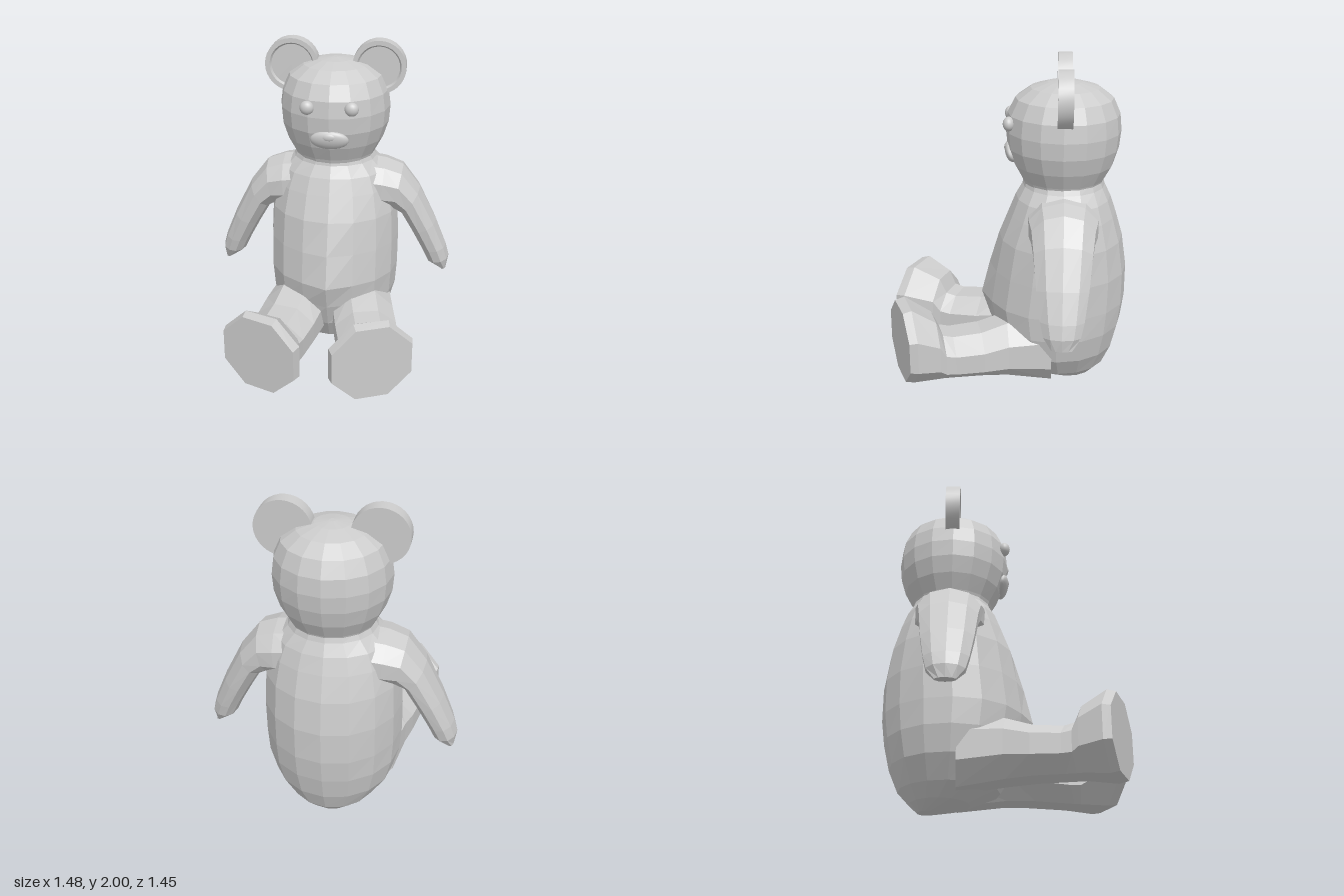
import * as THREE from 'three';
import { toCreasedNormals } from 'three/addons/utils/BufferGeometryUtils.js';

const faceted = new THREE.MeshStandardMaterial({ color: 0xcccccc, flatShading: true });
const smooth = new THREE.MeshStandardMaterial({ color: 0xcccccc });

function add(group, name, geometry, material, x = 0, y = 0, z = 0) {
  const mesh = new THREE.Mesh(geometry, material);
  mesh.name = name;
  mesh.position.set(x, y, z);
  group.add(mesh);
  return mesh;
}

// Skin over a list of rings (counter-clockwise seen from the last ring), closed at both ends
function loft(rings, side = 1) {
  const out = [];
  const tri = (a, b, c) => {
    for (const p of side > 0 ? [a, b, c] : [a, c, b]) out.push(p.x * side, p.y, p.z);
  };
  const centre = (ring) => ring.reduce((s, p) => s.add(p), new THREE.Vector3()).divideScalar(ring.length);
  const n = rings[0].length, last = rings[rings.length - 1];
  const start = centre(rings[0]), end = centre(last);
  for (let j = 0; j < n; j++) {
    const k = (j + 1) % n;
    for (let i = 0; i < rings.length - 1; i++) {
      tri(rings[i][j], rings[i][k], rings[i + 1][k]);
      tri(rings[i][j], rings[i + 1][k], rings[i + 1][j]);
    }
    tri(start, rings[0][k], rings[0][j]);
    tri(end, last[j], last[k]);
  }
  const g = new THREE.BufferGeometry();
  g.setAttribute('position', new THREE.Float32BufferAttribute(out, 3));
  g.computeVertexNormals();
  return g;
}

const ringOf = (n, fn, offset = 0) =>
  Array.from({ length: n }, (_, i) => fn((i / n) * Math.PI * 2 + offset, i));

// Horizontal ring: height, half width, front z, back z, push of the front centre point
const level = ([y, w, front, back, ridge = 0]) => ringOf(16, (a, i) => new THREE.Vector3(
  Math.sin(a) * w, y, (front + back) / 2 + Math.cos(a) * (front - back) / 2 + (i === 0 ? ridge : 0)));

const BODY = [
  [0.005, 0.05, -0.4, -0.5], [0.05, 0.17, -0.2, -0.55], [0.12, 0.27, -0.03, -0.615],
  [0.25, 0.36, 0.05, -0.67], [0.4, 0.4, 0.09, -0.705, 0.02], [0.55, 0.41, 0.12, -0.725, 0.04],
  [0.75, 0.41, 0.09, -0.725, 0.02], [0.95, 0.4, 0.05, -0.695], [1.1, 0.37, -0.01, -0.65],
  [1.2, 0.33, -0.05, -0.615], [1.27, 0.26, -0.09, -0.58], [1.32, 0.235, -0.1, -0.565],
];
const HEAD = [
  [1.27, 0.235, -0.1, -0.56], [1.31, 0.25, -0.085, -0.575], [1.4, 0.298, -0.035, -0.625],
  [1.5, 0.33, 0, -0.655], [1.6, 0.338, 0.01, -0.665], [1.7, 0.325, 0, -0.655],
  [1.79, 0.285, -0.045, -0.615], [1.85, 0.2, -0.13, -0.535], [1.88, 0.1, -0.23, -0.43],
  [1.89, 0.02, -0.31, -0.35],
];

// Arm section: outer x, y, inner x, y, half depth
const ARM = [
  [0.2, 1.27, 0.18, 0.95, 0.22], [0.32, 1.255, 0.3, 0.93, 0.21], [0.43, 1.215, 0.37, 0.93, 0.19],
  [0.54, 1.07, 0.42, 0.91, 0.175], [0.65, 0.85, 0.49, 0.79, 0.155], [0.72, 0.68, 0.56, 0.66, 0.13],
  [0.742, 0.6, 0.6, 0.575, 0.11], [0.73, 0.525, 0.69, 0.515, 0.06],
];
const armRing = ([ox, oy, ix, iy, d]) => ringOf(10, (a) => new THREE.Vector3(
  (ox + ix) / 2 + Math.cos(a) * (ox - ix) / 2,
  (oy + iy) / 2 + Math.cos(a) * (oy - iy) / 2,
  -0.335 + Math.sin(a) * d));

// Leg section: centre x, z, half width, bottom y, top y, turn outwards
const LEG = [
  [0.19, -0.28, 0.17, 0.08, 0.5, 0], [0.215, 0, 0.19, 0.12, 0.47, 0.15],
  [0.25, 0.16, 0.19, 0.13, 0.42, 0.25], [0.285, 0.33, 0.185, 0.13, 0.405, 0.28],
  [0.298, 0.39, 0.185, 0.13, 0.42, 0.3], [0.308, 0.43, 0.195, 0.13, 0.51, 0.32],
  [0.317, 0.58, 0.25, 0.12, 0.6, 0.36], [0.332, 0.632, 0.24, 0.13, 0.585, 0.39],
];
const legRing = ([cx, cz, w, bottom, top, turn]) => ringOf(8, (a) => {
  const u = Math.cos(a) / Math.cos(Math.PI / 8) * w;
  const v = Math.sin(a) / Math.cos(Math.PI / 8) * (top - bottom) / 2;
  return new THREE.Vector3(cx + u * Math.cos(turn), (top + bottom) / 2 + v, cz - u * Math.sin(turn));
}, Math.PI / 8);

// Round ear with a raised rim and a sunken front
function earGeometry() {
  const profile = [[0, -0.043], [0.163, -0.043], [0.163, 0.043], [0.135, 0.043], [0.125, 0.028], [0, 0.028]];
  const g = new THREE.LatheGeometry(profile.map(([r, h]) => new THREE.Vector2(r, h)), 32);
  return toCreasedNormals(g.rotateX(Math.PI / 2), 0.5);
}

export function createModel() {
  const bear = new THREE.Group();
  bear.name = 'teddyBear';

  add(bear, 'body', loft(BODY.map(level)), faceted);
  add(bear, 'head', loft(HEAD.map(level)), faceted);

  // Limbs, ears and eyes on both sides
  for (const [label, s] of [['left', 1], ['right', -1]]) {
    add(bear, label + 'Arm', loft(ARM.map(armRing), s), faceted);
    add(bear, label + 'Leg', loft(LEG.map(legRing), s), faceted);
    add(bear, label + 'Ear', earGeometry(), smooth, s * 0.265, 1.837, -0.333);
    add(bear, label + 'Eye', new THREE.SphereGeometry(0.042, 20, 14), smooth, s * 0.132, 1.66, -0.012)
      .scale.z = 0.8;
  }

  // Muzzle and nose
  const muzzle = add(bear, 'muzzle', new THREE.SphereGeometry(1, 24, 14), smooth, 0, 1.463, -0.022);
  muzzle.scale.set(0.116, 0.062, 0.035);
  muzzle.rotation.x = 0.3;
  const nose = add(bear, 'nose', new THREE.SphereGeometry(1, 16, 10), smooth, 0, 1.487, 0.006);
  nose.scale.set(0.043, 0.024, 0.014);

  return bear;
}
